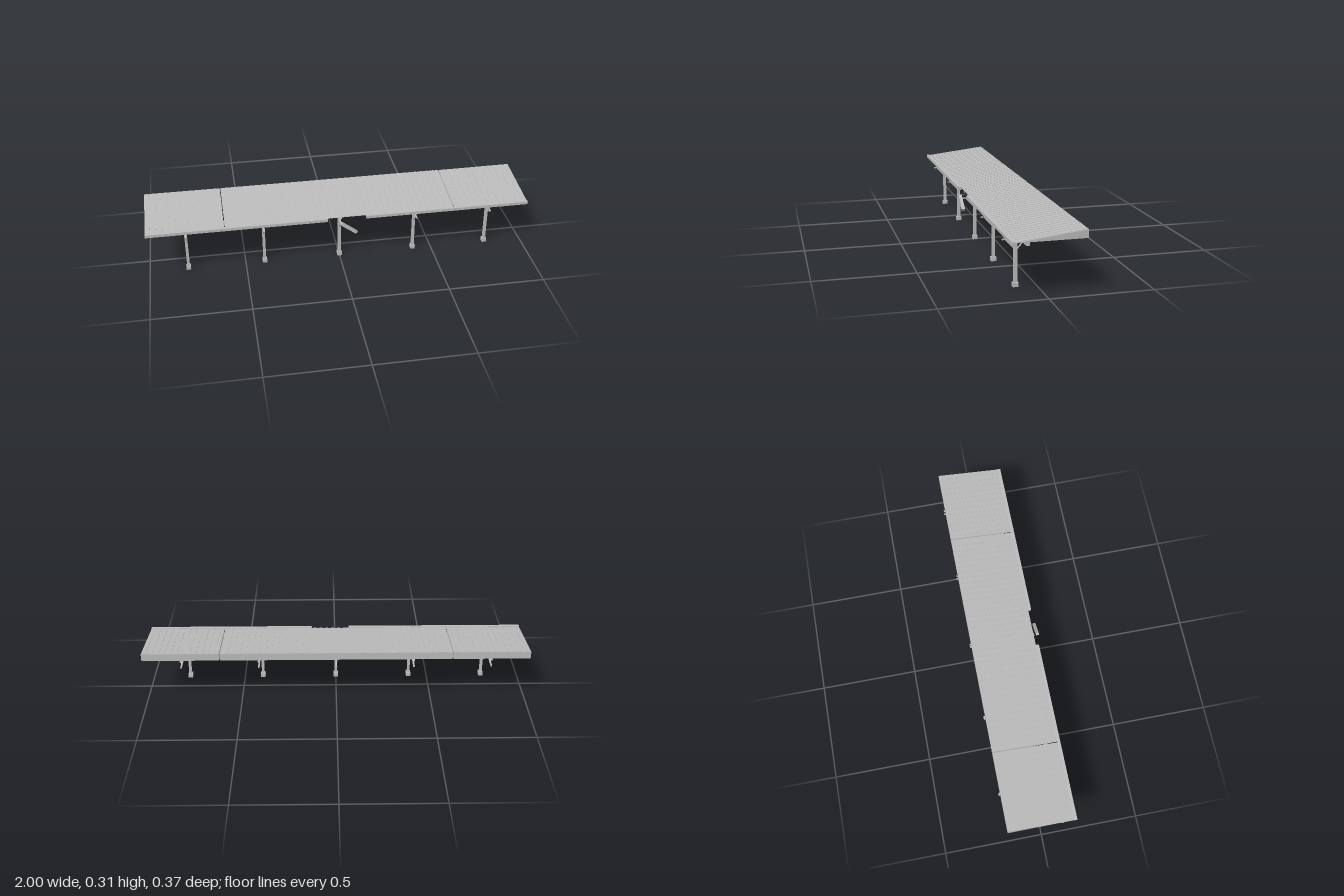
import * as THREE from 'three';

const steel = new THREE.MeshStandardMaterial({ color: 0xbcbcbc });
steel.name = 'light grey steel';

export function createModel() {
  const model = new THREE.Group();
  model.name = 'platformCanopy';

  // Box given by its centre and size
  const box = (parent, name, x, y, z, w, h, d) => {
    const m = new THREE.Mesh(new THREE.BoxGeometry(w, h, d), steel);
    m.name = name;
    m.position.set(x, y, z);
    parent.add(m);
    return m;
  };
  // Thin bar in the side plane between two [z, y] points
  const bar = (parent, name, x, a, b, w, t) => {
    const dz = b[0] - a[0], dy = b[1] - a[1];
    const m = box(parent, name, x, (a[1] + b[1]) / 2, (a[0] + b[0]) / 2, w, t, Math.hypot(dz, dy));
    m.rotation.x = -Math.atan2(dy, dz);
    return m;
  };

  // Wedge-shaped roof in three sections with narrow joints
  const roof = new THREE.Group();
  roof.name = 'roof';
  model.add(roof);
  const front = [0.155, 0.2685], back = [-0.178, 0.3065];
  for (const [x0, x1] of [[-1, -0.602], [-0.598, 0.598], [0.602, 1]]) {
    const profile = new THREE.Shape();
    profile.moveTo(-front[0], 0.267);
    profile.lineTo(-back[0], 0.267);
    profile.lineTo(-back[0], back[1]);
    profile.lineTo(-front[0], front[1]);
    const geo = new THREE.ExtrudeGeometry(profile, { depth: x1 - x0, bevelEnabled: false });
    geo.rotateY(Math.PI / 2).translate(x0, 0, 0);
    const section = new THREE.Mesh(geo, steel);
    section.name = 'roofSection';
    roof.add(section);
  }

  // Low ribs running up the slope
  const ribs = 62;
  for (let i = 0; i < ribs; i++) {
    const x = -1 + (i + 0.5) * 2 / ribs;
    if (Math.abs(Math.abs(x) - 0.6) < 0.012) continue;
    bar(roof, 'roofRib', x, front, back, 0.016, 0.003);
  }

  // Front gutter, interrupted near the middle
  for (const [x0, x1] of [[-1, -0.07], [0.13, 1]])
    box(model, 'gutter', (x0 + x1) / 2, 0.2645, 0.163, x1 - x0, 0.015, 0.016);

  // Long beam over the posts
  box(model, 'longBeam', 0, 0.259, 0.098, 2, 0.017, 0.016);

  for (let i = -2; i <= 2; i++) {
    const x = i * 0.4;
    const frame = new THREE.Group();
    frame.name = 'supportFrame';
    frame.position.x = x;
    model.add(frame);

    // Post as an H-section, with foot and cap
    box(frame, 'foot', 0, 0.01, 0.099, 0.024, 0.02, 0.027);
    for (const s of [-1, 1])
      box(frame, 'postFlange', 0, 0.13, 0.099 + s * 0.0065, 0.014, 0.22, 0.003);
    box(frame, 'postWeb', 0, 0.13, 0.099, 0.005, 0.22, 0.011);
    box(frame, 'postCap', 0, 0.245, 0.098, 0.022, 0.02, 0.029);

    // Truss chords
    box(frame, 'topChord', 0, 0.2615, -0.0135, 0.008, 0.005, 0.343);
    box(frame, 'bottomChord', 0, 0.2275, -0.011, 0.008, 0.005, 0.348);

    // Zigzag truss web
    const node = k => [0.074 - k * 0.0232, k % 2 ? 0.259 : 0.23];
    for (let k = 0; k < 10; k++) bar(frame, 'trussDiagonal', 0, node(k), node(k + 1), 0.005, 0.004);
    bar(frame, 'trussDiagonal', 0, [0.144, 0.23], [0.126, 0.259], 0.005, 0.004);

    // Braces from the post to the bottom chord
    for (const s of [-1, 1])
      bar(frame, 'brace', 0, [0.098 + s * 0.006, 0.179], [0.098 + s * 0.049, 0.227], 0.006, 0.005);
  }

  // Loose tilted length of gutter
  const loose = box(model, 'looseGutterPiece', 0.038, 0.214, 0.178, 0.1, 0.015, 0.016);
  loose.rotation.z = -0.645;

  return model;
}
